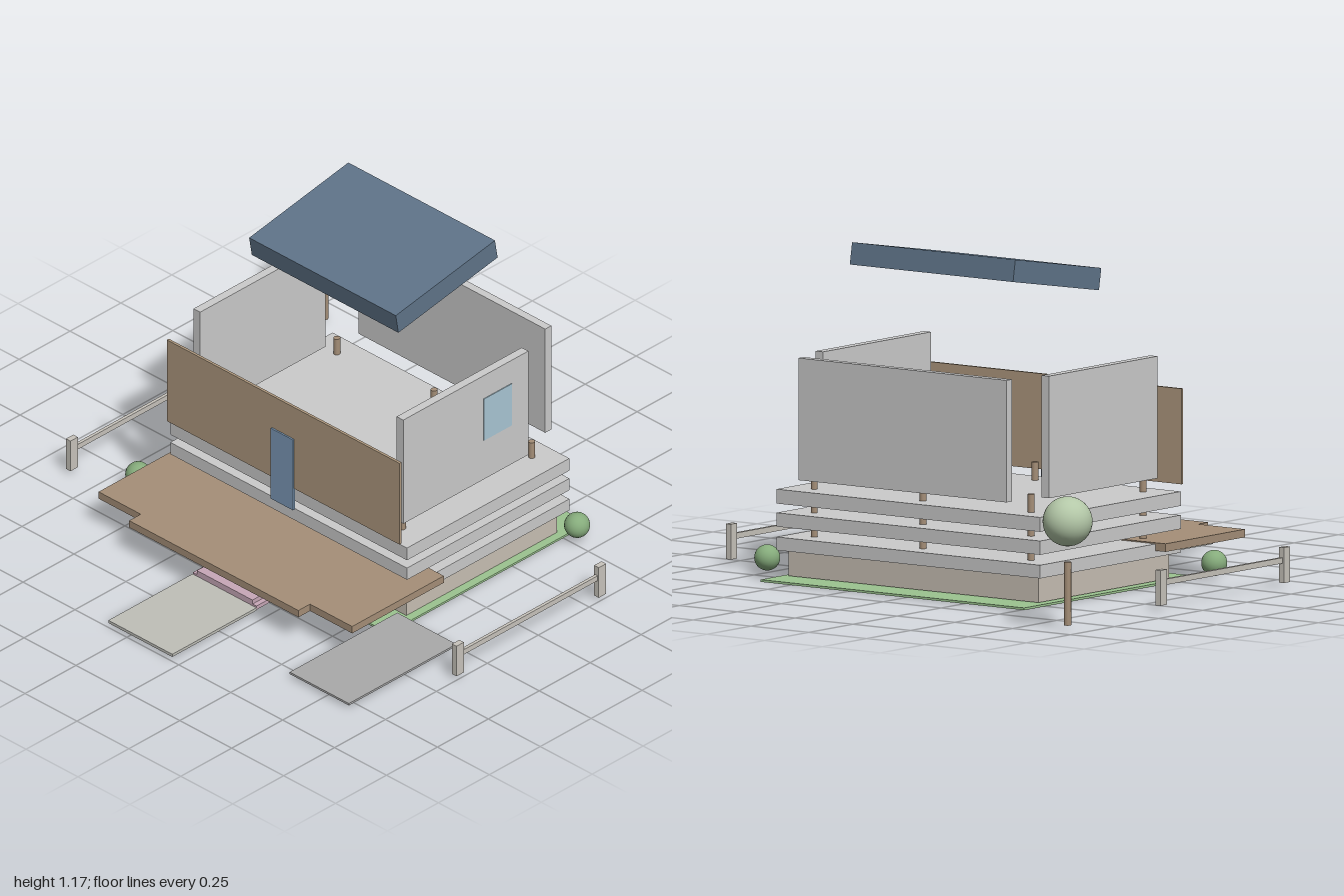
import * as THREE from 'three';

const mat = (color) => new THREE.MeshStandardMaterial({ color });
const M = {
  grey: mat(0xcccccc), wood: mat(0xa58f78), facade: mat(0xb09a80), roof: mat(0x5f7489),
  glass: mat(0xa9c6d4), door: mat(0x7d9ab8), stone: mat(0xc8c0b4), lawn: mat(0x9cc490),
  path: mat(0xbfbfb8), drive: mat(0xaaaaaa), step: mat(0xc8a8b8), leaf: mat(0x86ac7c),
  crown: mat(0xb4c8a8), fence: mat(0xc8c4bc),
};

export function createModel() {
  const model = new THREE.Group();
  model.name = 'explodedHouse';

  const add = (name, geometry, material, x, y, z, parent = model) => {
    const mesh = new THREE.Mesh(geometry, material);
    mesh.name = name;
    mesh.position.set(x, y, z);
    parent.add(mesh);
    return mesh;
  };
  // Box given by its extents along each axis
  const box = (name, material, [x0, x1], [y0, y1], [z0, z1], parent) =>
    add(name, new THREE.BoxGeometry(x1 - x0, y1 - y0, z1 - z0), material,
      (x0 + x1) / 2, (y0 + y1) / 2, (z0 + z1) / 2, parent);

  // Ground and paving
  box('lawn', M.lawn, [-0.51, 0.63], [0, 0.008], [-0.62, 0.36]);
  box('frontPath', M.path, [-0.096, 0.212], [0.012, 0.023], [0.58, 0.993]);
  box('driveway', M.drive, [0.578, 0.863], [0.014, 0.022], [0.262, 0.79]);

  // Foundation and the three floating floor slabs
  box('foundation', M.stone, [-0.48, 0.6], [0.01, 0.1], [-0.5, 0.24]);
  [[0.1, 0.146], [0.182, 0.23], [0.262, 0.312]].forEach((ys, i) =>
    box(`floorSlab${i + 1}`, M.grey, [-0.51, 0.63], ys, [-0.53, 0.267]));

  // Posts through the slabs
  const postGeometry = new THREE.CylinderGeometry(0.012, 0.012, 0.235, 12);
  for (const x of [-0.408, 0.06, 0.53])
    for (const z of [-0.447, 0.187]) add('post', postGeometry, M.wood, x, 0.258, z);

  // Deck with its projecting front edge, and entry steps
  const deck = new THREE.Shape([
    [-0.553, -0.125], [-0.553, -0.575], [-0.35, -0.575], [-0.35, -0.632],
    [0.465, -0.632], [0.465, -0.575], [0.668, -0.575], [0.668, -0.125],
  ].map(([x, y]) => new THREE.Vector2(x, y)));
  const deckGeometry = new THREE.ExtrudeGeometry(deck, { depth: 0.028, bevelEnabled: false });
  deckGeometry.rotateX(-Math.PI / 2);
  add('deck', deckGeometry, M.wood, 0, 0.122, 0);
  box('lowerStep', M.step, [-0.094, 0.212], [0.015, 0.03], [0.45, 0.58]);
  box('upperStep', M.step, [-0.075, 0.193], [0.03, 0.046], [0.45, 0.58]);

  // Walls, pulled apart from each other
  const wallY = [0.358, 0.782];
  box('backWall', M.grey, [-0.393, 0.507], wallY, [-0.567, -0.537]);
  box('rightWall', M.grey, [-0.447, -0.415], wallY, [-0.397, 0.217]);
  box('leftWall', M.grey, [0.531, 0.563], wallY, [-0.397, 0.217]);
  box('sideWindow', M.glass, [0.559, 0.566], [0.518, 0.688], [-0.314, -0.176]);
  box('frontPanel', M.facade, [-0.5, 0.62], [0.334, 0.666], [0.284, 0.294]);
  box('door', M.door, [0.006, 0.113], [0.248, 0.536], [0.291, 0.3]);

  // Tilted roof hovering above
  const roof = add('roof', new THREE.BoxGeometry(0.706, 0.077, 0.494), M.roof, 0.06, 1.092, -0.149);
  roof.rotation.x = 0.17;

  // Fences on both sides
  for (const x of [-0.871, 0.988]) {
    const fence = new THREE.Group();
    fence.name = 'fence';
    fence.position.x = x;
    model.add(fence);
    for (const z of [-0.316, 0.382])
      box('fencePost', M.fence, [-0.011, 0.011], [0.015, 0.138], [z - 0.018, z + 0.018], fence);
    box('fenceRail', M.fence, [-0.006, 0.006], [0.083, 0.103], [-0.3, 0.366], fence);
  }

  // Bushes and tree
  const bushGeometry = new THREE.SphereGeometry(0.045, 24, 16);
  add('bush', bushGeometry, M.leaf, -0.622, 0.069, 0.31);
  add('bush', bushGeometry, M.leaf, 0.68, 0.069, -0.517);
  add('treeTrunk', new THREE.CylinderGeometry(0.013, 0.013, 0.22, 8), M.wood, -0.916, 0.125, -0.906);
  add('treeCrown', new THREE.SphereGeometry(0.086, 32, 20), M.crown, -0.916, 0.376, -0.906);

  return model;
}
